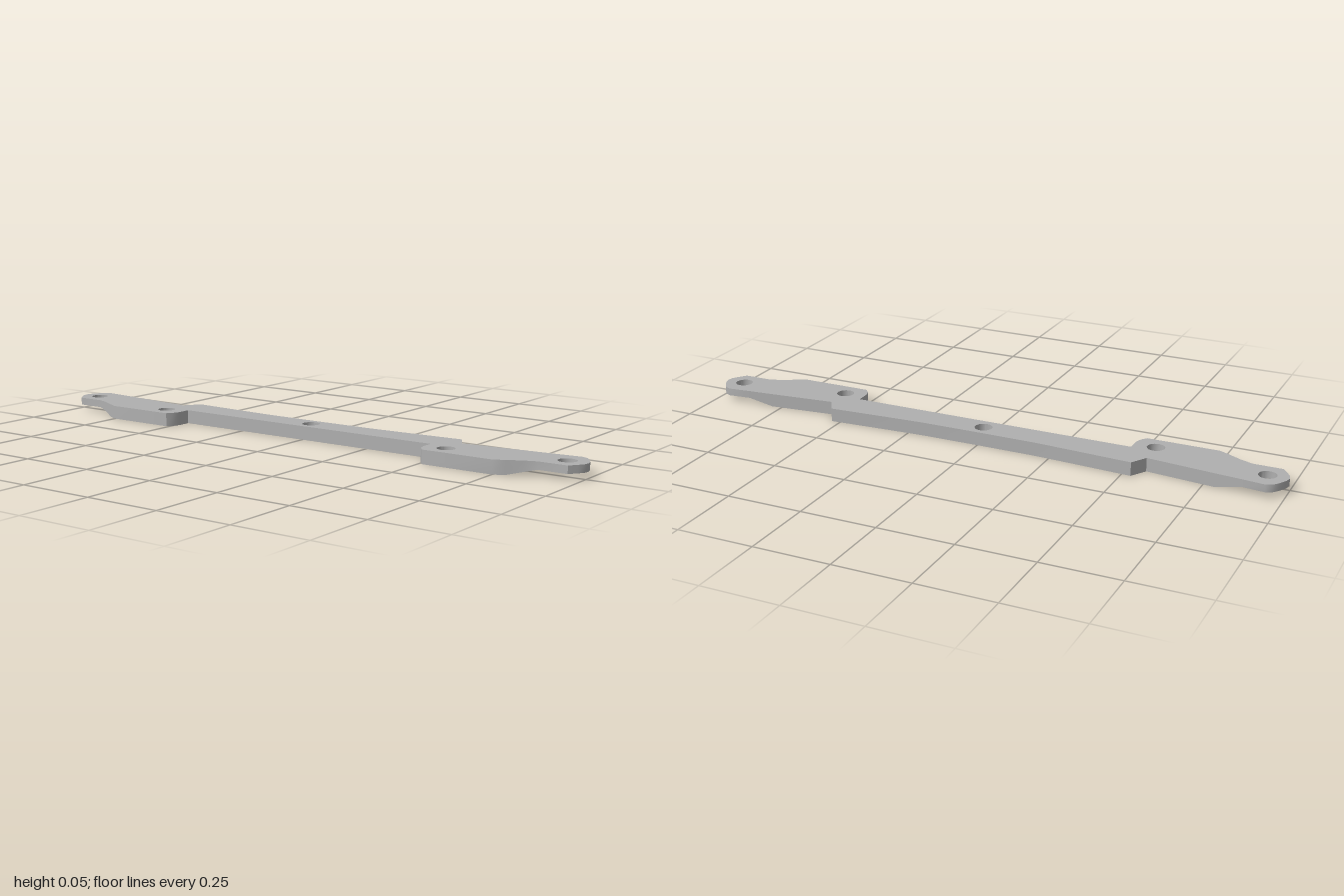
import * as THREE from 'three';
import { mergeGeometries, toCreasedNormals } from 'three/addons/utils/BufferGeometryUtils.js';

const TOP = 0.045, TIP = 0.02, RAMP_IN = 0.785, RAMP_OUT = 0.87, HOLE_R = 0.029;

// Underside height: flat in the middle, ramping up to thin tips
const underside = (x) =>
  TIP * THREE.MathUtils.clamp((Math.abs(x) - RAMP_IN) / (RAMP_OUT - RAMP_IN), 0, 1);

// Right half of the outline as [x, z], cut into the three underside zones
const backMid = [[0, -0.083], [0.2, -0.084], [0.32, -0.09], [0.53, -0.102], [0.562, -0.049], [RAMP_IN, -0.072]];
const frontMid = [[RAMP_IN, 0.085], [0.75, 0.102], [0.51, 0.102], [0.496, 0.084], [0.488, 0.06], [0.488, 0.014], [0, 0.014]];
const backCut = [RAMP_OUT, -0.08], frontCut = [RAMP_OUT, 0.047];
const tip = [[0.945, -0.088], [0.965, -0.08], [0.98, -0.062], [0.995, -0.036], [1, -0.015],
  [0.996, 0.004], [0.984, 0.022], [0.965, 0.047]];
const rampFront = [0.83, 0.061];

const mirror = (pts) => pts.map(([x, z]) => [-x, z]).reverse();
const both = (pts) => [...pts, ...mirror(pts)];

// Counter-clockwise contour seen from above (shape y is -z)
const contour = (pts) => pts.map(([x, z]) => new THREE.Vector2(x, -z)).reverse();

// Clockwise bolt hole
function hole([x, z]) {
  return Array.from({ length: 24 }, (_, i) => {
    const a = -i / 24 * Math.PI * 2;
    return new THREE.Vector2(x + HOLE_R * Math.cos(a), -z + HOLE_R * Math.sin(a));
  });
}

// Flat cap facing up, or a cap following the underside and facing down
function cap(points, holes, down) {
  const shape = new THREE.Shape(points);
  shape.holes = holes.map((h) => new THREE.Path(h));
  const g = new THREE.ShapeGeometry(shape).rotateX(-Math.PI / 2);
  const p = g.attributes.position;
  for (let i = 0; i < p.count; i++) p.setY(i, down ? underside(p.getX(i)) : TOP);
  if (down) g.setIndex(Array.from(g.index.array).reverse());
  return g;
}

// Vertical wall along a closed contour
function wall(points) {
  const pos = [], uv = [], index = [];
  points.forEach((a, i) => {
    const b = points[(i + 1) % points.length], k = i * 4;
    pos.push(a.x, underside(a.x), -a.y, b.x, underside(b.x), -b.y, b.x, TOP, -b.y, a.x, TOP, -a.y);
    uv.push(0, 0, 1, 0, 1, 1, 0, 1);
    index.push(k, k + 1, k + 2, k, k + 2, k + 3);
  });
  const g = new THREE.BufferGeometry();
  g.setAttribute('position', new THREE.Float32BufferAttribute(pos, 3));
  g.setAttribute('uv', new THREE.Float32BufferAttribute(uv, 2));
  g.setIndex(index);
  g.computeVertexNormals();
  return g;
}

export function createModel() {
  const group = new THREE.Group();
  group.name = 'mountingBracket';
  const metal = new THREE.MeshStandardMaterial({ color: 0xb0b0b0 });
  metal.name = 'grey metal';

  const outline = contour(both([...backMid, backCut, ...tip, frontCut, rampFront, ...frontMid]));
  const midHoles = [[0, -0.035], [0.56, 0.043], [-0.56, 0.043]].map(hole);
  const tipHoles = [[0.933, -0.016], [-0.933, -0.016]].map(hole);
  const holes = [...midHoles, ...tipHoles];

  // Top face, outer edge, bolt holes and the flat middle of the underside
  const parts = [
    cap(outline, holes, false),
    wall(outline),
    ...holes.map(wall),
    cap(contour(both([...backMid, ...frontMid])), midHoles, true),
  ];

  // Ramps and thin tips of the underside
  const ramp = [backMid.at(-1), backCut, frontCut, rampFront, frontMid[0]];
  const end = [backCut, ...tip, frontCut];
  parts.push(cap(contour(ramp), [], true), cap(contour(mirror(ramp)), [], true));
  parts.push(cap(contour(end), [tipHoles[0]], true), cap(contour(mirror(end)), [tipHoles[1]], true));

  const plate = new THREE.Mesh(toCreasedNormals(mergeGeometries(parts), 0.5), metal);
  plate.name = 'plate';
  group.add(plate);
  return group;
}
